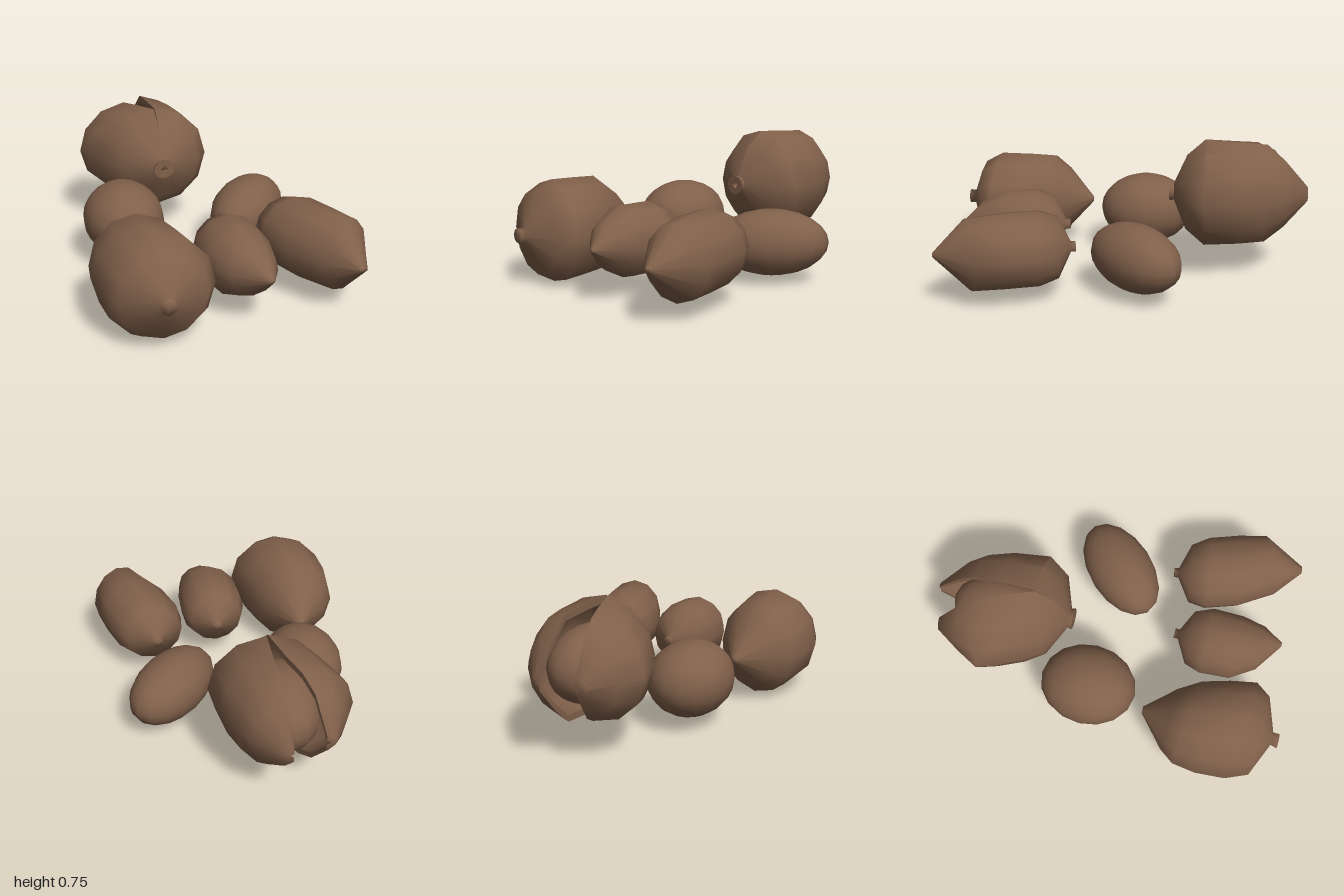
import * as THREE from 'three';
import { toCreasedNormals } from 'three/addons/utils/BufferGeometryUtils.js';

// Skin a series of closed loops (arrays of [x, y, z]) and cap both ends
function loft(loops) {
  const n = loops[0].length, pos = [], idx = [];
  loops.forEach(l => l.forEach(p => pos.push(...p)));
  for (let r = 0; r < loops.length - 1; r++) {
    for (let i = 0; i < n; i++) {
      const a = r * n + i, b = r * n + (i + 1) % n;
      idx.push(a, b, b + n, a, b + n, a + n);
    }
  }
  [0, loops.length - 1].forEach(r => {
    const c = [0, 1, 2].map(k => loops[r].reduce((s, p) => s + p[k], 0) / n);
    const m = pos.length / 3;
    pos.push(...c);
    for (let i = 0; i < n; i++) {
      const a = r * n + i, b = r * n + (i + 1) % n;
      if (r === 0) idx.push(m, b, a); else idx.push(m, a, b);
    }
  });
  // Turn the faces outward if the enclosed volume comes out negative
  const v = i => new THREE.Vector3().fromArray(pos, i * 3);
  let volume = 0;
  for (let i = 0; i < idx.length; i += 3) volume += v(idx[i]).dot(v(idx[i + 1]).cross(v(idx[i + 2])));
  if (volume < 0) idx.reverse();
  const g = new THREE.BufferGeometry();
  g.setAttribute('position', new THREE.Float32BufferAttribute(pos, 3));
  g.setIndex(idx);
  g.computeVertexNormals();
  return g;
}

// Whole nut: each ring is [leftX, leftZ, rightX, rightZ, vertical radius]
function nutGeometry(rings, y, sides = 12) {
  return loft(rings.map(([lx, lz, rx, rz, ry]) => Array.from({ length: sides }, (_, i) => {
    const a = i / sides * Math.PI * 2, c = Math.cos(a) / 2;
    return [(lx + rx) / 2 + (rx - lx) * c, y + ry * Math.sin(a), (lz + rz) / 2 + (rz - lz) * c];
  })));
}

// Half shell with thickness: each ring is [splitX, splitZ, outerX, outerZ, vertical radius]
function valveGeometry(rings, y, steps = 6) {
  return toCreasedNormals(loft(rings.map(([sx, sz, ox, oz, ry]) => {
    const w = Math.hypot(ox - sx, oz - sz);
    const arc = (kw, kh) => Array.from({ length: steps + 1 }, (_, i) => {
      const a = i / steps * Math.PI, s = Math.sin(a) * kw;
      return [sx + (ox - sx) * s, y + ry * kh * Math.cos(a), sz + (oz - sz) * s];
    });
    const shrink = d => Math.max(0.35, 1 - 0.035 / d);
    return [...arc(1, 1), ...arc(shrink(w), shrink(ry)).reverse()];
  })), 0.9);
}

export function createModel() {
  const model = new THREE.Group();
  model.name = 'nuts';
  const brown = new THREE.MeshStandardMaterial({ color: 0x80604a });
  brown.name = 'nutBrown';
  const add = (name, geometry, parent = model) => {
    const mesh = new THREE.Mesh(geometry, brown);
    mesh.name = name;
    parent.add(mesh);
    return mesh;
  };

  // Three whole nuts along the front
  add('largeNut', nutGeometry([
    [-0.48, 1.0, -0.4, 1.0, 0.04],
    [-0.47, 0.965, -0.4, 0.965, 0.04],
    [-0.66, 0.88, -0.21, 0.9, 0.225],
    [-0.71, 0.76, -0.15, 0.82, 0.28],
    [-0.72, 0.6, -0.175, 0.68, 0.273],
    [-0.7, 0.47, -0.22, 0.53, 0.265],
    [-0.64, 0.39, -0.29, 0.41, 0.19],
    [-0.47, 0.245, -0.43, 0.245, 0.015],
  ], 0.285));
  add('smallNut', nutGeometry([
    [0, 0.315, 0.055, 0.315, 0.028],
    [0, 0.34, 0.055, 0.34, 0.028],
    [-0.13, 0.41, 0.175, 0.4, 0.155],
    [-0.16, 0.5, 0.215, 0.5, 0.19],
    [-0.15, 0.67, 0.21, 0.67, 0.19],
    [-0.07, 0.8, 0.185, 0.8, 0.125],
    [0.095, 0.915, 0.12, 0.915, 0.01],
  ], 0.285));
  add('longNut', nutGeometry([
    [0.365, 0.235, 0.415, 0.225, 0.028],
    [0.365, 0.26, 0.42, 0.25, 0.028],
    [0.24, 0.35, 0.57, 0.29, 0.165],
    [0.23, 0.45, 0.635, 0.38, 0.2],
    [0.29, 0.63, 0.69, 0.54, 0.2],
    [0.42, 0.83, 0.72, 0.69, 0.195],
    [0.565, 0.945, 0.605, 0.94, 0.012],
  ], 0.285));

  // Two smooth oval nuts in the middle
  const round = add('roundNut', new THREE.SphereGeometry(1, 16, 12));
  round.scale.set(0.223, 0.205, 0.268);
  round.position.set(-0.377, 0.265, -0.083);
  const oval = add('ovalNut', new THREE.SphereGeometry(1, 16, 12));
  oval.scale.set(0.308, 0.18, 0.183);
  oval.rotation.y = Math.PI / 4;
  oval.position.set(0.36, 0.223, -0.082);

  // Split pod at the back: two half shells around a kernel
  const pod = new THREE.Group();
  pod.name = 'splitPod';
  model.add(pod);
  add('leftShell', valveGeometry([
    [-0.09, -0.235, -0.03, -0.235, 0.055],
    [-0.09, -0.26, -0.035, -0.26, 0.05],
    [-0.09, -0.33, 0.15, -0.33, 0.21],
    [-0.085, -0.44, 0.22, -0.43, 0.3],
    [-0.082, -0.62, 0.19, -0.63, 0.29],
    [-0.085, -0.77, 0.14, -0.76, 0.28],
    [-0.09, -0.87, 0.085, -0.865, 0.19],
    [-0.1, -1.0, -0.06, -1.0, 0.04],
  ], 0.46), pod);
  add('rightShell', valveGeometry([
    [-0.09, -0.235, -0.15, -0.235, 0.055],
    [-0.09, -0.26, -0.145, -0.26, 0.05],
    [-0.09, -0.33, -0.32, -0.35, 0.21],
    [-0.092, -0.43, -0.39, -0.46, 0.3],
    [-0.15, -0.6, -0.455, -0.59, 0.28],
    [-0.2, -0.72, -0.485, -0.68, 0.265],
    [-0.24, -0.82, -0.42, -0.8, 0.21],
    [-0.275, -0.945, -0.33, -0.94, 0.04],
  ], 0.46), pod);
  const kernel = add('kernel', new THREE.SphereGeometry(1, 16, 12), pod);
  kernel.scale.set(0.19, 0.2, 0.28);
  kernel.position.set(-0.13, 0.46, -0.625);

  return model;
}
